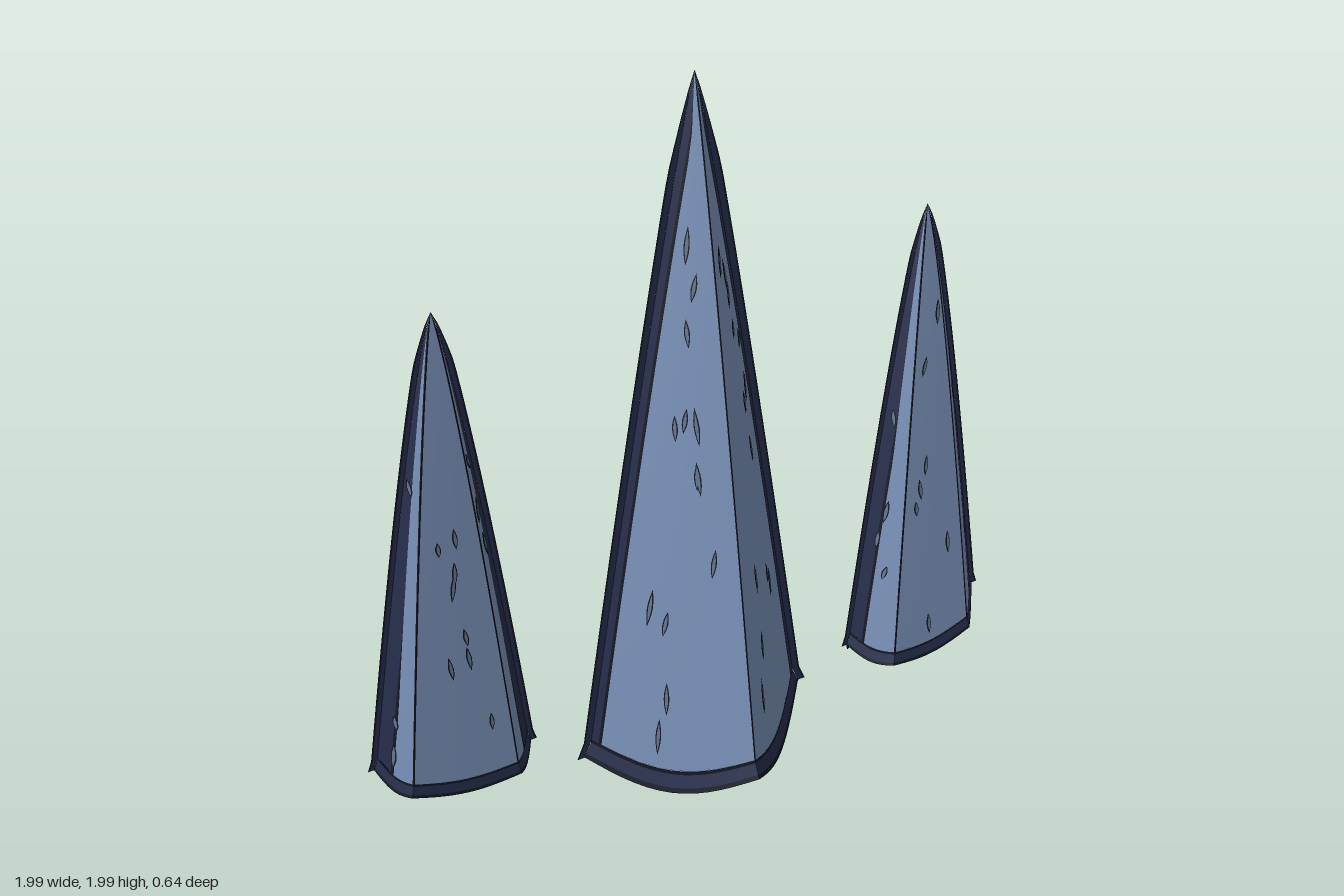
import * as THREE from 'three';
import { mergeGeometries } from 'three/addons/utils/BufferGeometryUtils.js';

const paint = (name, color) => {
  const m = new THREE.MeshStandardMaterial({ color, side: THREE.DoubleSide });
  m.name = name;
  return m;
};

// small seeded generator for the scattered scratches
function seeded(seed) {
  let s = seed;
  return () => (s = (s * 16807) % 2147483647) / 2147483647;
}

// grid patch from a function of (u, v)
function patch(fn, nu, nv) {
  const pos = [], index = [];
  for (let j = 0; j <= nv; j++)
    for (let i = 0; i <= nu; i++) pos.push(...fn(i / nu, j / nv).toArray());
  for (let j = 0; j < nv; j++)
    for (let i = 0; i < nu; i++) {
      const a = j * (nu + 1) + i, b = a + 1, c = a + nu + 1, d = c + 1;
      index.push(a, b, d, a, d, c);
    }
  const g = new THREE.BufferGeometry();
  g.setAttribute('position', new THREE.Float32BufferAttribute(pos, 3));
  g.setIndex(index);
  g.computeVertexNormals();
  return g;
}

function buildSpike(name, spec, mats) {
  const { corners, apex, power, dip, bulge, bands, fin, rim, flare, lip, scratches, seed } = spec;
  const n = corners.length;
  const tip = new THREE.Vector3(...apex);
  const group = new THREE.Group();
  group.name = name;
  const parts = { shell: [], edge: [], line: [], scratch: [] };
  const rand = seeded(seed);
  const taper = v => Math.pow(Math.max(0, 1 - v), power);

  for (let i = 0; i < n; i++) {
    const a = new THREE.Vector3(...corners[i]);
    const b = new THREE.Vector3(...corners[(i + 1) % n]);
    const len = Math.hypot(b.x - a.x, b.z - a.z);
    const out = new THREE.Vector3(-(b.z - a.z), 0, b.x - a.x).divideScalar(len);

    // point on the face: t runs across, v runs up; the foot flares slightly
    const at = (t, v, lift = 0) => {
      const s = taper(v) * (1 + flare * Math.max(0, 1 - v / rim));
      const wave = Math.sin(Math.PI * t);
      const p = a.clone().lerp(b, t);
      const y = p.y + (tip.y - p.y) * v - dip * wave * Math.pow(1 - v, 6);
      p.sub(tip).multiplyScalar(s).add(tip);
      p.addScaledVector(out, bulge * wave * s + lift);
      p.y = y;
      return p;
    };
    // share of the face taken by a strip of fixed width
    const share = (w, v) => Math.min(0.5, w / Math.max(1e-4, len * taper(v)));
    const strip = (lo, hi, v0, v1, nu) => patch((u, k) => {
      const v = v0 + (v1 - v0) * k;
      return at(lo(v) + (hi(v) - lo(v)) * u, v);
    }, nu, v1 - v0 > 0.2 ? 24 : 2);

    // dark bands beside the ridges, thin ink lines, then the pale face
    const wA = bands[i], wB = bands[(i + 1) % n], r2 = rim + 0.005;
    const inkA = wA ? 0.008 : 0.003, inkB = wB ? 0.008 : 0.003;
    const L0 = () => 0, L1 = v => share(wA, v), L2 = v => share(wA + inkA, v);
    const R0 = () => 1, R1 = v => 1 - share(wB, v), R2 = v => 1 - share(wB + inkB, v);
    if (wA) parts.edge.push(strip(L0, L1, r2, 1, 1));
    if (wB) parts.edge.push(strip(R1, R0, r2, 1, 1));
    parts.line.push(strip(L1, L2, r2, 1, 1), strip(R2, R1, r2, 1, 1));
    parts.shell.push(strip(L2, R2, r2, 1, 8));

    // thin fin standing out along each banded ridge, with an ink border
    if (wA) {
      const side = Math.sign(a.x - tip.x);
      const finStrip = (x0, x1) => patch((u, v) => {
        const p = at(0, v);
        p.x += side * (x0 + (x1 - x0) * u) * Math.min(1, taper(v) * 6);
        return p;
      }, 1, 40);
      parts.edge.push(finStrip(0, fin - 0.006));
      parts.line.push(finStrip(fin - 0.006, fin));
    }

    // scalloped rim along the open foot, with a dark lip turned inward
    parts.line.push(strip(L0, R0, 0, 0.006, 14), strip(L0, R0, rim, r2, 14));
    parts.edge.push(strip(L0, R0, 0.006, rim, 14));
    parts.line.push(patch((u, k) => {
      const p = at(u, 0), inset = lip * (1 - k);
      p.x += (tip.x - p.x) * inset;
      p.z += (tip.z - p.z) * inset;
      p.y += 0.012 * (1 - k);
      return p;
    }, 14, 1));

    // scratches: slim leaf-shaped plates, ink with a paler core
    for (let k = 0; k < Math.round(scratches * Math.min(1, len / 0.3)); k++) {
      const v = 0.07 + 0.7 * rand(), t = 0.2 + 0.6 * rand();
      const h = 0.03 + 0.03 * rand(), lean = (rand() - 0.5) * 0.03;
      const leaf = (w, size, lift) => patch((u, q) => at(
        t + (lean * size * (q - 0.5) + (u - 0.5) * w * Math.sin(Math.PI * q)) / (len * taper(v)),
        v + (q - 0.5) * h * size, lift), 1, 6);
      parts.line.push(leaf(0.016, 1, 0.003));
      parts.scratch.push(leaf(0.009, 0.8, 0.005));
    }
  }

  const labels = { shell: 'Faces', edge: 'Edges', line: 'Outlines', scratch: 'Scratches' };
  for (const key in parts) {
    const mesh = new THREE.Mesh(mergeGeometries(parts[key]), mats[key]);
    mesh.name = name + labels[key];
    group.add(mesh);
  }
  return group;
}

export function createModel() {
  const mats = {
    shell: paint('slateBlue', 0x7c94bb),
    edge: paint('navy', 0x262e4d),
    line: paint('ink', 0x141826),
    scratch: paint('dustyBlue', 0x66788f),
  };
  const model = new THREE.Group();
  model.name = 'spikes';

  // tall four-sided middle spike, open underneath
  model.add(buildSpike('middleSpike', {
    corners: [[-0.352, 0.1, 0], [0, 0.07, 0.308], [0.352, 0.1, 0], [0, 0.07, -0.308]],
    apex: [0, 2, 0], power: 0.9, dip: 0.075, bulge: 0.008, fin: 0.024, flare: 0.04,
    bands: [0.02, 0, 0.02, 0], rim: 0.022, lip: 0.09, scratches: 13, seed: 71,
  }, mats));

  // flatter six-sided spikes, one the half turn of the other
  const side = {
    corners: [[-0.97, 0.26, -0.05], [-0.905, 0.19, 0.026], [-0.585, 0.145, 0.026],
      [-0.518, 0.19, -0.04], [-0.605, 0.145, -0.149], [-0.885, 0.18, -0.147]],
    apex: [-0.75, 1.51, -0.03], power: 0.8, dip: 0.02, bulge: 0.002, fin: 0.018, flare: 0.03,
    bands: [0.035, 0, 0, 0.035, 0, 0], rim: 0.024, lip: 0.12, scratches: 8, seed: 193,
  };
  model.add(buildSpike('rightSpike', side, mats));
  const left = buildSpike('leftSpike', { ...side, seed: 877 }, mats);
  left.rotation.y = Math.PI;
  model.add(left);
  return model;
}
